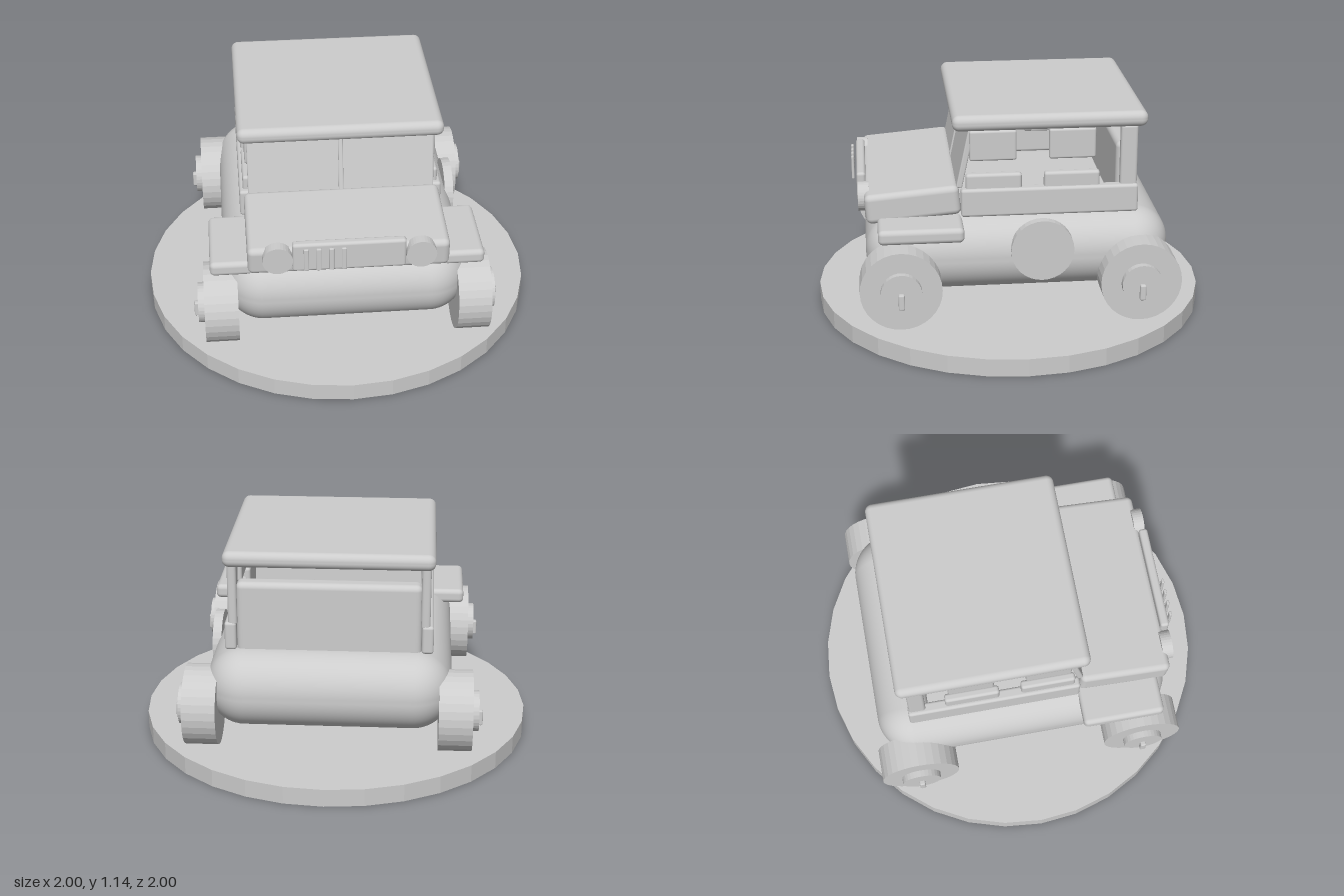
import * as THREE from 'three';
import { RoundedBoxGeometry } from 'three/addons/geometries/RoundedBoxGeometry.js';

const grey = new THREE.MeshStandardMaterial({ color: 0xcccccc });
grey.name = 'plain grey';

export function createModel() {
  const model = new THREE.Group();
  model.name = 'offRoader';

  const add = (name, geometry) => {
    const mesh = new THREE.Mesh(geometry, grey);
    mesh.name = name;
    model.add(mesh);
    return mesh;
  };

  // Rounded box given by its extents along each axis
  const box = (name, [x0, x1], [y0, y1], [z0, z1], r = 0.015) => {
    const mesh = add(name, new RoundedBoxGeometry(x1 - x0, y1 - y0, z1 - z0, 4, r));
    mesh.position.set((x0 + x1) / 2, (y0 + y1) / 2, (z0 + z1) / 2);
    return mesh;
  };
  const sideBox = (name, s, [x0, x1], ys, zs, r) =>
    box(name, s > 0 ? [x0, x1] : [-x1, -x0], ys, zs, r);

  // Faceted disc; axis is 'x', 'y' or 'z'
  const disc = (name, r, length, axis, x, y, z) => {
    const g = new THREE.CylinderGeometry(r, r, length, 32).toNonIndexed();
    g.computeVertexNormals();
    if (axis === 'x') g.rotateZ(-Math.PI / 2);
    if (axis === 'z') g.rotateX(Math.PI / 2);
    add(name, g).position.set(x, y, z);
  };

  disc('base', 1, 0.09, 'y', 0, 0.045, 0);

  // Lower body: soft pillow that narrows a little towards both ends
  const hull = new RoundedBoxGeometry(1.23, 0.39, 1.51, 8, 0.185);
  const p = hull.attributes.position;
  for (let i = 0; i < p.count; i++) {
    const t = Math.max(0, Math.abs(p.getZ(i)) - 0.35) / 0.4;
    p.setX(i, p.getX(i) * (1 - 0.06 * t * t));
  }
  add('lowerBody', hull).position.set(0, 0.435, -0.005);

  // Sloping bonnet
  const bonnet = add('bonnet', new RoundedBoxGeometry(0.975, 0.15, 0.465, 4, 0.03));
  bonnet.position.set(0, 0.687, 0.515);
  bonnet.rotation.x = 0.085;

  // Grille with slots standing just ahead of it
  box('grille', [-0.275, 0.27], [0.635, 0.79], [0.74, 0.785], 0.015);
  for (let i = 0; i < 4; i++) {
    const x = -0.21 + i * 0.06;
    box('grilleSlot', [x - 0.012, x + 0.012], [0.655, 0.778], [0.797, 0.811], 0.005);
  }

  // Windscreen leaning back, with a centre bar
  const screen = new THREE.Group();
  screen.name = 'windscreen';
  screen.position.set(0, 0.915, 0.255);
  screen.rotation.x = -0.21;
  model.add(screen);
  const pane = add('windscreenPane', new RoundedBoxGeometry(0.93, 0.31, 0.03, 3, 0.008));
  const bar = add('windscreenBar', new RoundedBoxGeometry(0.024, 0.31, 0.046, 3, 0.006));
  screen.add(pane, bar);

  // Roof and tailgate
  box('roof', [-0.51, 0.508], [1.06, 1.14], [-0.637, 0.318], 0.036);
  box('tailgate', [-0.45, 0.45], [0.6, 0.97], [-0.585, -0.49], 0.03);

  // Spare disc on the left flank only
  disc('flankDisc', 0.155, 0.045, 'x', 0.595, 0.48, -0.11);

  for (const s of [1, -1]) {
    disc('headlight', 0.073, 0.055, 'z', s * 0.345, 0.697, 0.753);
    sideBox('fender', s, [0.44, 0.67], [0.555, 0.63], [0.275, 0.69], 0.025);
    sideBox('sideWall', s, [0.45, 0.508], [0.625, 0.768], [-0.595, 0.28]);
    sideBox('rearPost', s, [0.445, 0.49], [0.75, 1.07], [-0.59, -0.505]);

    // Upper and lower door panels
    for (const [z0, z1] of [[0.005, 0.235], [-0.385, -0.155]])
      sideBox('upperDoorPanel', s, [0.442, 0.476], [0.903, 1.057], [z0, z1], 0.012);
    for (const [z0, z1] of [[-0.02, 0.255], [-0.405, -0.13]])
      sideBox('lowerDoorPanel', s, [0.445, 0.49], [0.74, 0.84], [z0, z1]);

    // Wheels with hubs and pins
    for (const z of [0.587, -0.587]) {
      disc('wheel', 0.2, 0.165, 'x', s * 0.622, 0.33, z);
      disc('hub', 0.1, 0.04, 'x', s * 0.717, 0.33, z);
      sideBox('hubPin', s, [0.72, 0.758], [0.255, 0.335], [z - 0.015, z + 0.015], 0.008);
    }
  }
  return model;
}
